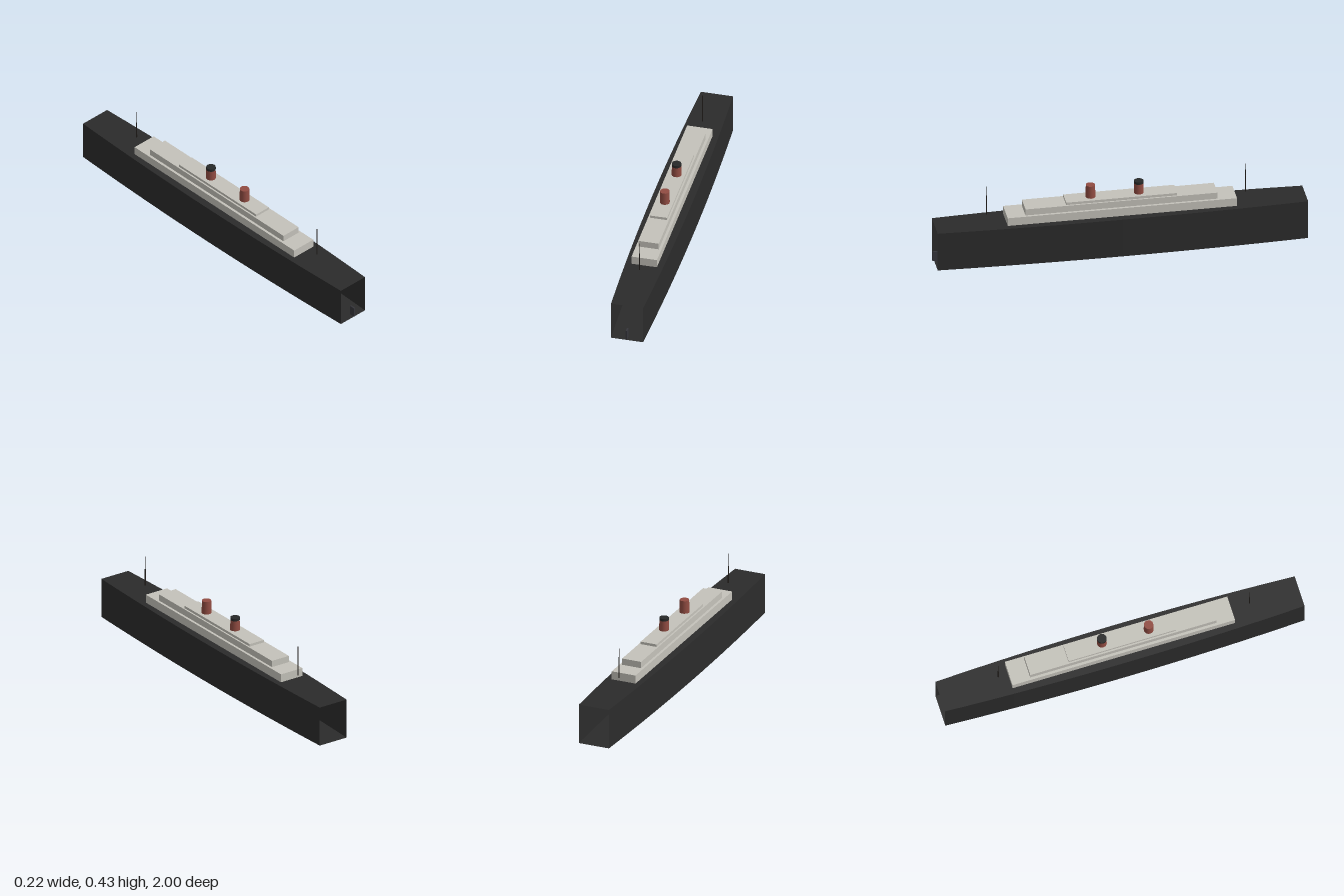
import * as THREE from 'three';

export function createModel() {
  const ship = new THREE.Group();
  ship.name = 'oceanLiner';

  const material = (name, color, extra = {}) => {
    const m = new THREE.MeshStandardMaterial({ color, ...extra });
    m.name = name;
    return m;
  };
  const hullBlack = material('hullBlack', 0x2b2b2b, { side: THREE.DoubleSide, flatShading: true });
  const deckGrey = material('deckGrey', 0xc4c2ba);
  const funnelRed = material('funnelRed', 0x914c42);
  const capBlack = material('capBlack', 0x262828);
  const mastBrown = material('mastBrown', 0x211d1a);
  const rudderGrey = material('rudderGrey', 0x35353b);

  const add = (name, geometry, mat, x, y, z) => {
    const mesh = new THREE.Mesh(geometry, mat);
    mesh.name = name;
    mesh.position.set(x, y, z);
    ship.add(mesh);
    return mesh;
  };

  // Hull: rectangular tube, open at both ends, gently bulging amidships
  const zBack = -1, zFront = 0.987, hullTop = 0.221, steps = 16;
  const positions = [], indices = [];
  for (let i = 0; i <= steps; i++) {
    const t = (i / steps) * 2 - 1;
    const w = 0.087 + 0.023 * (1 - t * t);
    const z = THREE.MathUtils.lerp(zBack, zFront, i / steps);
    positions.push(-w, 0, z, w, 0, z, w, hullTop, z, -w, hullTop, z);
    if (i === steps) break;
    for (let k = 0; k < 4; k++) {
      const a = i * 4 + k, b = i * 4 + ((k + 1) % 4);
      indices.push(a, b, b + 4, a, b + 4, a + 4);
    }
  }
  const hull = new THREE.BufferGeometry();
  hull.setAttribute('position', new THREE.Float32BufferAttribute(positions, 3));
  hull.setIndex(indices);
  hull.computeVertexNormals();
  add('hull', hull, hullBlack, 0, 0, 0);

  // Stepped superstructure: half width, bottom, top, back, front
  [
    ['lowerDeckhouse', 0.069, 0.221, 0.267, -0.622, 0.608],
    ['middleDeckhouse', 0.055, 0.267, 0.303, -0.52, 0.51],
    ['upperDeckhouse', 0.046, 0.303, 0.317, -0.305, 0.29],
  ].forEach(([name, w, y0, y1, z0, z1]) => {
    add(name, new THREE.BoxGeometry(w * 2, y1 - y0, z1 - z0), deckGrey, 0, (y0 + y1) / 2, (z0 + z1) / 2);
  });

  // Funnels: the rear one carries a black cap
  const tube = (name, rTop, rBottom, y0, y1, z, mat, sides = 16) =>
    add(name, new THREE.CylinderGeometry(rTop, rBottom, y1 - y0, sides), mat, 0, (y0 + y1) / 2, z);
  tube('frontFunnel', 0.025, 0.0265, 0.317, 0.388, 0.152, funnelRed);
  tube('rearFunnel', 0.025, 0.0265, 0.317, 0.374, -0.107, funnelRed);
  tube('rearFunnelCap', 0.0255, 0.0255, 0.374, 0.388, -0.107, capBlack);

  // Masts: thicker lower pole with a slim topmast
  [['front', 0.71], ['rear', -0.68]].forEach(([end, z]) => {
    tube(end + 'Mast', 0.003, 0.0035, 0.265, 0.36, z, mastBrown, 8);
    tube(end + 'Topmast', 0.0015, 0.0018, 0.36, 0.432, z, mastBrown, 8);
  });

  // Rudder blade at the open end
  add('rudder', new THREE.BoxGeometry(0.008, 0.055, 0.03), rudderGrey, 0, 0.0395, 0.985);

  return ship;
}
